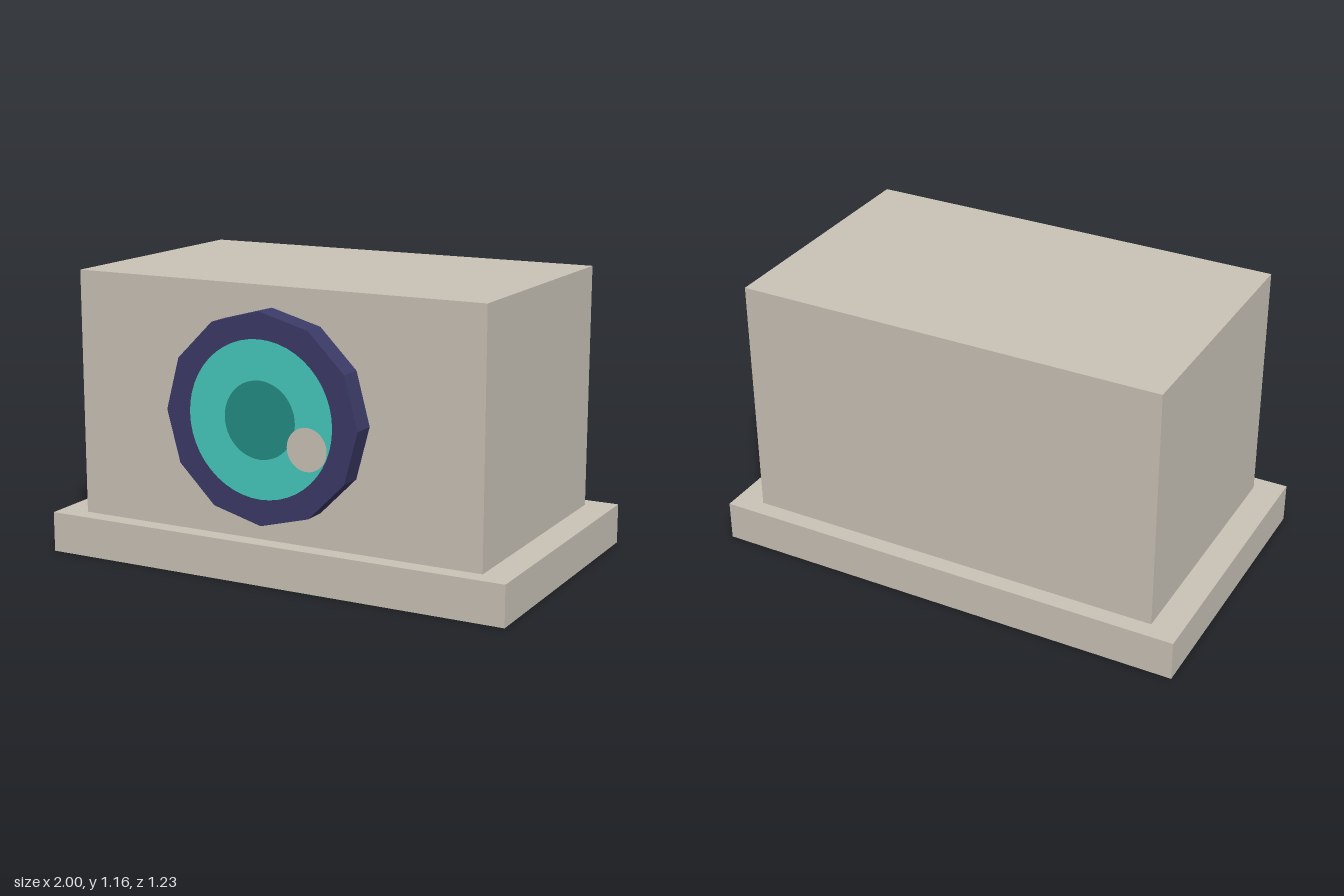
import * as THREE from 'three';

const material = (name, color) => {
  const m = new THREE.MeshStandardMaterial({ color });
  m.name = name;
  return m;
};

export function createModel() {
  const stone = material('warm stone', 0xcbc4b8);
  const navy = material('navy', 0x3c3b68);
  const teal = material('teal', 0x46cabf);
  const darkTeal = material('dark teal', 0x238f86);
  const model = new THREE.Group();
  model.name = 'boxWithLens';

  const add = (name, geometry, mat, x, y, z) => {
    const mesh = new THREE.Mesh(geometry, mat);
    mesh.name = name;
    mesh.position.set(x, y, z);
    model.add(mesh);
  };

  // Plinth and main block
  add('base', new THREE.BoxGeometry(2, 0.165, 1.202), stone, 0, 0.0825, -0.014);
  add('body', new THREE.BoxGeometry(1.76, 1, 1.06), stone, 0, 0.665, -0.014);

  // Twelve-sided rim: duplicated vertices keep its facets flat
  const rim = new THREE.CylinderGeometry(0.415, 0.415, 0.102, 12).toNonIndexed();
  rim.computeVertexNormals();
  rim.rotateX(Math.PI / 2);
  add('lensRim', rim, navy, 0, 0.666, 0.563);

  // Thin discs stacked on the rim's face
  const disc = (name, radius, mat, x, y, layer) =>
    add(name, new THREE.CircleGeometry(radius, 48), mat, x, y, 0.614 + layer * 0.001);
  disc('iris', 0.31, teal, 0, 0.666, 1);
  disc('pupil', 0.153, darkTeal, 0, 0.666, 2);
  disc('highlight', 0.085, stone, 0.203, 0.575, 3);

  return model;
}
